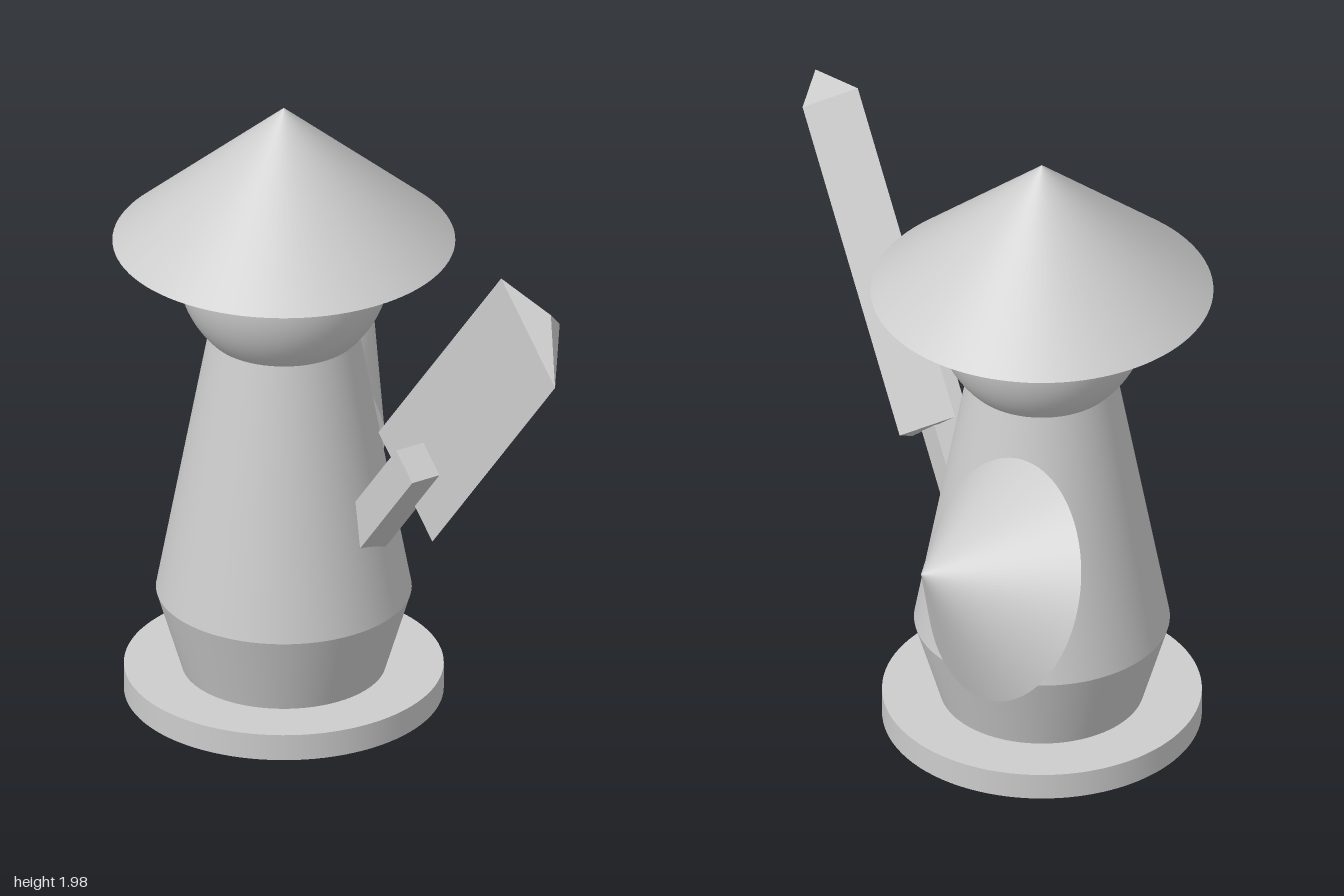
import * as THREE from 'three';
import { ConvexGeometry } from 'three/addons/geometries/ConvexGeometry.js';

export function createModel() {
  const model = new THREE.Group();
  model.name = 'figurine';
  const grey = new THREE.MeshStandardMaterial({ color: 0xcccccc });
  grey.name = 'light grey';

  const add = (parent, name, geometry, x = 0, y = 0, z = 0) => {
    const mesh = new THREE.Mesh(geometry, grey);
    mesh.name = name;
    mesh.position.set(x, y, z);
    parent.add(mesh);
    return mesh;
  };

  // Upright turned parts share one axis
  const figure = new THREE.Group();
  figure.name = 'figure';
  figure.position.set(-0.25, 0, 0.08);
  model.add(figure);

  // Frustum standing between two heights
  const frustum = (name, rTop, rBottom, y0, y1) => add(figure, name,
    new THREE.CylinderGeometry(rTop, rBottom, y1 - y0, 96), 0, (y0 + y1) / 2, 0);
  frustum('base', 0.485, 0.485, 0, 0.085);
  frustum('lowerBody', 0.388, 0.31, 0.085, 0.345);
  frustum('upperBody', 0.228, 0.388, 0.345, 1.21);
  add(figure, 'head', new THREE.SphereGeometry(0.324, 64, 40), 0, 1.44, 0);
  add(figure, 'hat', new THREE.ConeGeometry(0.52, 0.45, 96), 0, 1.75, 0);

  // Cone shield on the back, its point tilted up and backwards
  const shieldAxis = new THREE.Vector3(0, 0.125, -0.3);
  const shieldHeight = shieldAxis.length();
  const shield = add(model, 'shield', new THREE.ConeGeometry(0.37, shieldHeight, 96));
  shield.position.set(-0.63, 0.82, -0.305).addScaledVector(shieldAxis, 0.5);
  shield.quaternion.setFromUnitVectors(new THREE.Vector3(0, 1, 0), shieldAxis.clone().normalize());

  // Arm and blade share a slanted frame: y along the blade, x across, z outwards
  const along = new THREE.Vector3(0.655, 0.805, 0.075).normalize();
  const out = new THREE.Vector3(0.295, -0.245, 0.04).cross(along).normalize();
  const across = along.clone().cross(out);
  const weapon = new THREE.Group();
  weapon.name = 'armAndBlade';
  weapon.quaternion.setFromRotationMatrix(new THREE.Matrix4().makeBasis(across, along, out));
  weapon.position.set(0.1975, 0.8225, -0.02);
  model.add(weapon);

  add(weapon, 'arm', new THREE.BoxGeometry(0.115, 0.6, 0.115), 0.01, -0.091, 0.042);

  // Triangular blade with a ridge at the back and a short pointed tip
  const bladePoints = [new THREE.Vector3(0, 1.14, -0.04)];
  for (const y of [0, 1.04]) {
    bladePoints.push(
      new THREE.Vector3(-0.193, y, 0),
      new THREE.Vector3(0.193, y, 0),
      new THREE.Vector3(0, y, -0.115));
  }
  add(weapon, 'blade', new ConvexGeometry(bladePoints));

  return model;
}
